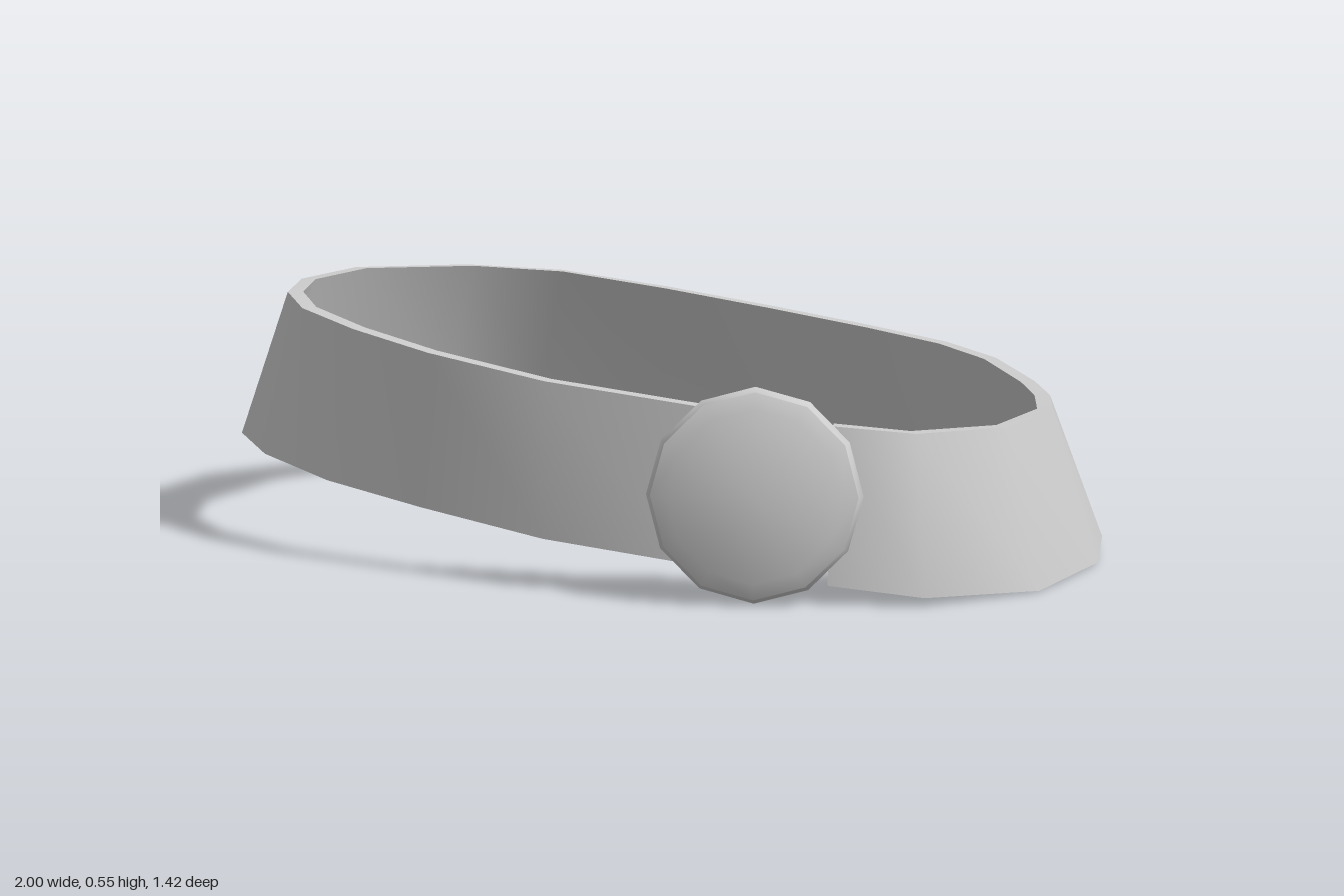
import * as THREE from 'three';
import { mergeGeometries, toCreasedNormals } from 'three/addons/utils/BufferGeometryUtils.js';

const THICKNESS = 0.035;

// Stations around the waist: outer lower edge x, z, then inner upper edge x, z
const STATIONS = [
  [0.61, 0.575, 0.59, 0.50], [0.80, 0.51, 0.73, 0.42], [0.97, 0.28, 0.84, 0.20],
  [1.0, -0.03, 0.85, -0.04], [0.94, -0.25, 0.80, -0.17], [0.79, -0.44, 0.73, -0.28],
  [0.61, -0.60, 0.58, -0.45], [0.42, -0.68, 0.44, -0.52], [0.25, -0.70, 0.24, -0.535],
  [-0.05, -0.71, 0.0, -0.53], [-0.37, -0.69, -0.28, -0.51], [-0.67, -0.59, -0.54, -0.46],
  [-0.86, -0.40, -0.71, -0.31], [-1.0, -0.07, -0.85, -0.03], [-1.0, 0.24, -0.85, 0.20],
  [-0.92, 0.42, -0.79, 0.35], [-0.78, 0.54, -0.68, 0.47], [-0.56, 0.63, -0.50, 0.56],
  [-0.30, 0.67, -0.28, 0.625], [0.01, 0.695, 0.01, 0.65], [0.32, 0.64, 0.32, 0.58],
];

// The strap hangs lower on the left hip than on the right
const lowerY = (x, z) => 0.12 - 0.115 * x - 0.015 * z;
const upperY = (x) => 0.445 - 0.13 * x;

function geometryFrom(points, index) {
  const g = new THREE.BufferGeometry();
  g.setAttribute('position', new THREE.Float32BufferAttribute(points.flat(), 3));
  g.setIndex(index);
  g.computeVertexNormals();
  return g;
}

// Four-cornered sections: lower outer, upper outer, upper inner, lower inner
function strapSections() {
  const last = STATIONS.length - 1;
  return STATIONS.map(([bx, bz, tx, tz], i) => {
    const a = STATIONS[Math.max(i - 1, 0)], b = STATIONS[Math.min(i + 1, last)];
    const out = new THREE.Vector2(a[1] - b[1], b[0] - a[0]).setLength(THICKNESS);
    const low = lowerY(bx, bz), high = upperY(tx);
    return [
      [bx, low, bz],
      [tx + out.x, high, tz + out.y],
      [tx, high, tz],
      [bx - out.x, low, bz - out.y],
    ];
  });
}

function strapGeometry() {
  const sections = strapSections();
  const n = sections.length;
  const parts = [];
  // One smooth strip per side, so the long edges stay sharp
  for (let k = 0; k < 4; k++) {
    const points = [], index = [];
    sections.forEach((s, i) => {
      points.push(s[k], s[(k + 1) % 4]);
      if (i < n - 1) {
        const p = i * 2;
        index.push(p, p + 2, p + 1, p + 2, p + 3, p + 1);
      }
    });
    parts.push(geometryFrom(points, index));
  }
  // End caps
  parts.push(geometryFrom(sections[0], [0, 1, 2, 0, 2, 3]));
  parts.push(geometryFrom(sections[n - 1], [0, 2, 1, 0, 3, 2]));
  return mergeGeometries(parts);
}

// Thick rounded disc with a flat back
function buckleGeometry() {
  const profile = [
    [0, -0.06], [0.185, -0.06], [0.212, -0.035], [0.225, 0],
    [0.215, 0.025], [0.18, 0.042], [0, 0.05],
  ].map(([r, y]) => new THREE.Vector2(r, y));
  const g = new THREE.LatheGeometry(profile, 12);
  g.rotateX(Math.PI / 2);
  return toCreasedNormals(g, 0.65);
}

export function createModel() {
  const group = new THREE.Group();
  const material = new THREE.MeshStandardMaterial({ color: 0xcccccc });

  const strap = new THREE.Mesh(strapGeometry(), material);
  strap.name = 'strap';

  const buckle = new THREE.Mesh(buckleGeometry(), material);
  buckle.name = 'buckle';
  buckle.position.set(0.46, 0.225, 0.61);
  buckle.rotation.set(-0.1, 0.37, 0, 'YXZ');

  group.add(strap, buckle);
  return group;
}
